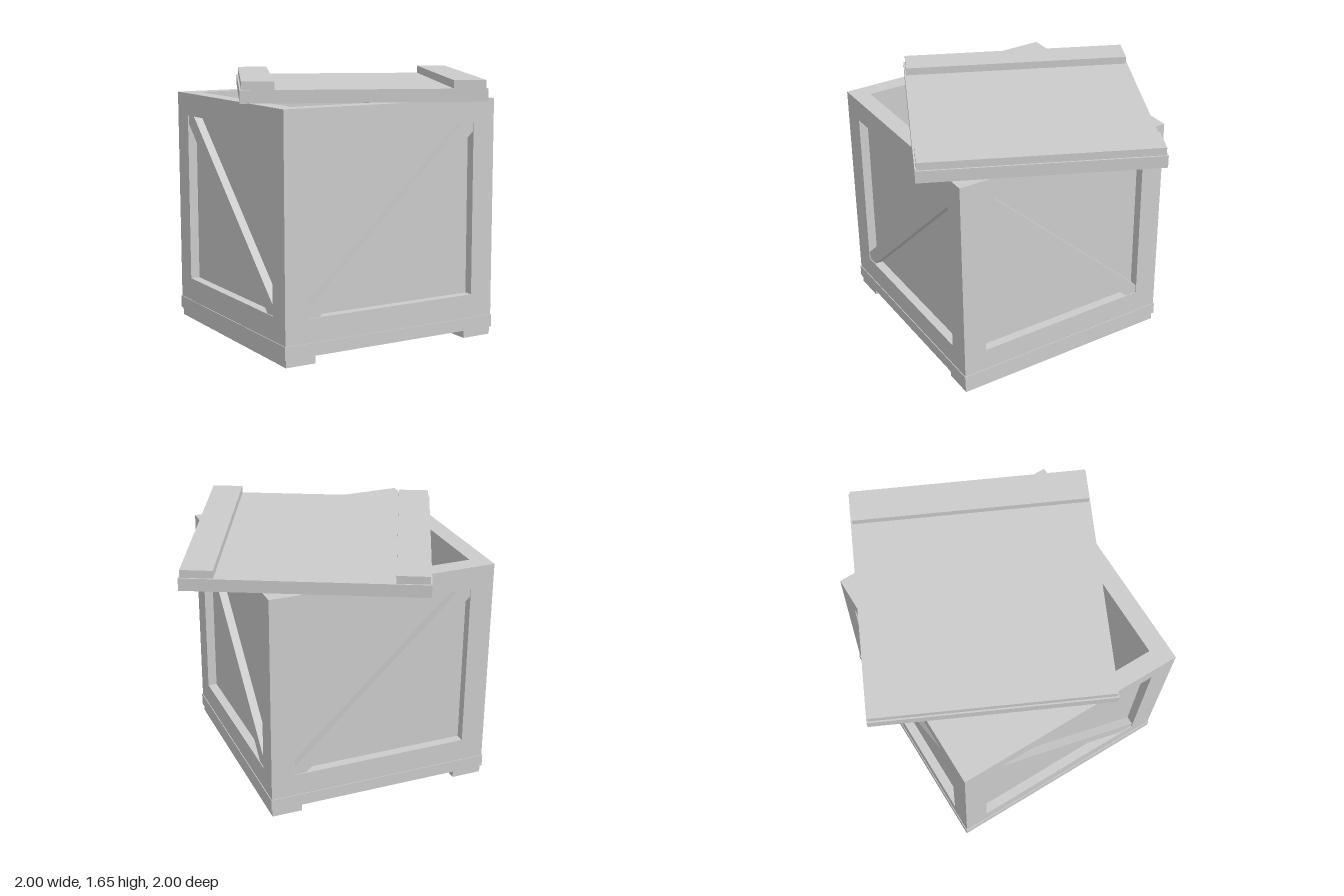
import * as THREE from 'three';

const material = new THREE.MeshStandardMaterial({ color: 0xcccccc, flatShading: true });

function addMesh(parent, name, geometry, x = 0, y = 0, z = 0) {
  const mesh = new THREE.Mesh(geometry, material);
  mesh.name = name;
  mesh.position.set(x, y, z);
  parent.add(mesh);
  return mesh;
}

// Box given by its size and the height of its underside
function addBox(parent, name, w, h, d, x, bottom, z) {
  return addMesh(parent, name, new THREE.BoxGeometry(w, h, d), x, bottom + h / 2, z);
}

const toPoints = (list) => list.map(([x, y]) => new THREE.Vector2(x, y));
const slab = (shape, depth) => new THREE.ExtrudeGeometry(shape, { depth, bevelEnabled: false });

const HALF = 0.745;          // half width of the crate body
const FLOOR = 0.13, TOP = 1.52;
const FRAME = 0.06;          // frame thickness, which is also the window recess
const PANEL = 0.055;         // thickness of the inner boards
const WIN = 0.59, WIN_LOW = 0.28, WIN_HIGH = 1.375;

// One side wall facing +z: window frame, recessed panel and diagonal brace
function createWall(name, mirror) {
  const wall = new THREE.Group();
  wall.name = name;

  // Each wall stops short at one end so that four of them interlock
  const frame = new THREE.Shape(toPoints([
    [-HALF, FLOOR], [HALF - FRAME, FLOOR], [HALF - FRAME, TOP], [-HALF, TOP],
  ]));
  frame.holes.push(new THREE.Path(toPoints([
    [-WIN, WIN_LOW], [-WIN, WIN_HIGH], [WIN, WIN_HIGH], [WIN, WIN_LOW],
  ])));
  addMesh(wall, 'windowFrame', slab(frame, FRAME), 0, 0, HALF - FRAME);

  const inner = HALF - FRAME;
  addBox(wall, 'panel', 2 * inner - PANEL, TOP - FLOOR, PANEL,
    -PANEL / 2, FLOOR, inner - PANEL / 2);

  // Brace ends are cut to fit the window corners
  const brace = toPoints([
    [-WIN, WIN_LOW], [-WIN + 0.08, WIN_LOW], [WIN, WIN_HIGH - 0.055],
    [WIN, WIN_HIGH], [WIN - 0.08, WIN_HIGH], [-WIN, WIN_LOW + 0.055],
  ]);
  brace.forEach((p) => { p.x *= mirror; });
  addMesh(wall, 'brace', slab(new THREE.Shape(brace), FRAME - 0.006), 0, 0, inner);
  return wall;
}

export function createModel() {
  const model = new THREE.Group();
  model.name = 'crateWithLid';

  // Open crate
  const crate = new THREE.Group();
  crate.name = 'crate';
  crate.position.set(-0.2, 0, 0.065);
  model.add(crate);

  ['frontWall', 'leftWall', 'backWall', 'rightWall'].forEach((name, i) => {
    const wall = createWall(name, i % 2 ? -1 : 1);
    wall.rotation.y = i * Math.PI / 2;
    crate.add(wall);
  });

  addBox(crate, 'base', 1.5, 0.08, 1.5, 0, 0.05, 0);
  for (const s of [-1, 1]) {
    addBox(crate, s > 0 ? 'leftRunner' : 'rightRunner', 0.2, 0.05, 1.48, s * 0.64, 0, 0);
  }

  // Lid laid askew on the crate
  const lid = new THREE.Group();
  lid.name = 'lid';
  lid.rotation.y = -THREE.MathUtils.degToRad(25.3);
  model.add(lid);
  addBox(lid, 'lidBoard', 1.5, 0.08, 1.5, 0, TOP, 0);
  for (const s of [-1, 1]) {
    addBox(lid, s > 0 ? 'leftBatten' : 'rightBatten', 0.2, 0.05, 1.48, s * 0.64, 1.6, 0);
  }

  return model;
}
